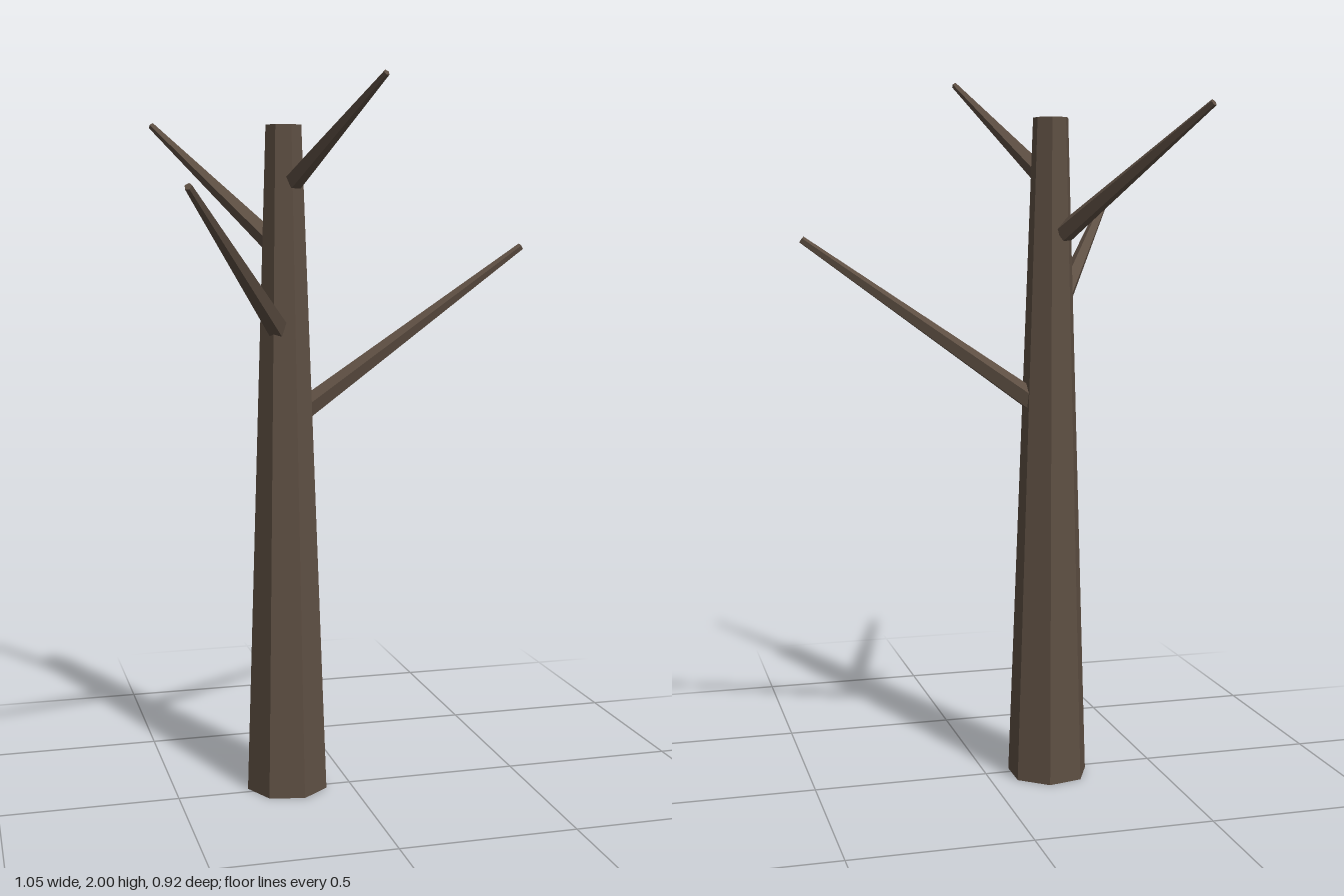
import * as THREE from 'three';

export function createModel() {
  const model = new THREE.Group();
  model.name = 'bareTree';
  const bark = new THREE.MeshStandardMaterial({ color: 0x5e4f43 });
  bark.name = 'brown bark';
  bark.flatShading = true;

  const centreX = -0.18, centreZ = -0.023, trunkHeight = 1.88;

  // Tapered seven-sided trunk with one corner toward -x
  const trunk = new THREE.Mesh(
    new THREE.CylinderGeometry(0.05, 0.116, trunkHeight, 7, 1, false, -Math.PI / 2), bark);
  trunk.name = 'trunk';
  trunk.position.set(centreX, trunkHeight / 2, centreZ);
  model.add(trunk);

  // Five-sided branch, ridge upward, from inside the trunk out to its tip
  function addBranch(name, baseY, inset, baseRadius, tipRadius, tip) {
    const angle = Math.atan2(tip[2] - centreZ, tip[0] - centreX);
    const start = new THREE.Vector3(
      centreX + Math.cos(angle) * inset, baseY, centreZ + Math.sin(angle) * inset);
    const end = new THREE.Vector3(...tip);
    const span = end.clone().sub(start);
    const geometry = new THREE.CylinderGeometry(
      tipRadius, baseRadius, span.length(), 5, 1, false, -Math.PI / 2);
    geometry.rotateZ(-Math.atan2(Math.hypot(span.x, span.z), span.y));
    geometry.rotateY(-angle);
    const branch = new THREE.Mesh(geometry, bark);
    branch.name = name;
    branch.position.copy(start).add(end).multiplyScalar(0.5);
    model.add(branch);
  }

  addBranch('leftBranch', 1.095, 0.052, 0.032, 0.0105, [0.517, 1.548, -0.023]);
  addBranch('frontRightBranch', 1.328, 0.048, 0.031, 0.0105, [-0.522, 1.703, 0.451]);
  addBranch('backRightBranch', 1.563, 0.046, 0.03, 0.01, [-0.48, 1.897, -0.454]);
  addBranch('topFrontBranch', 1.727, 0.04, 0.028, 0.009, [0.005, 1.992, 0.343]);

  return model;
}
